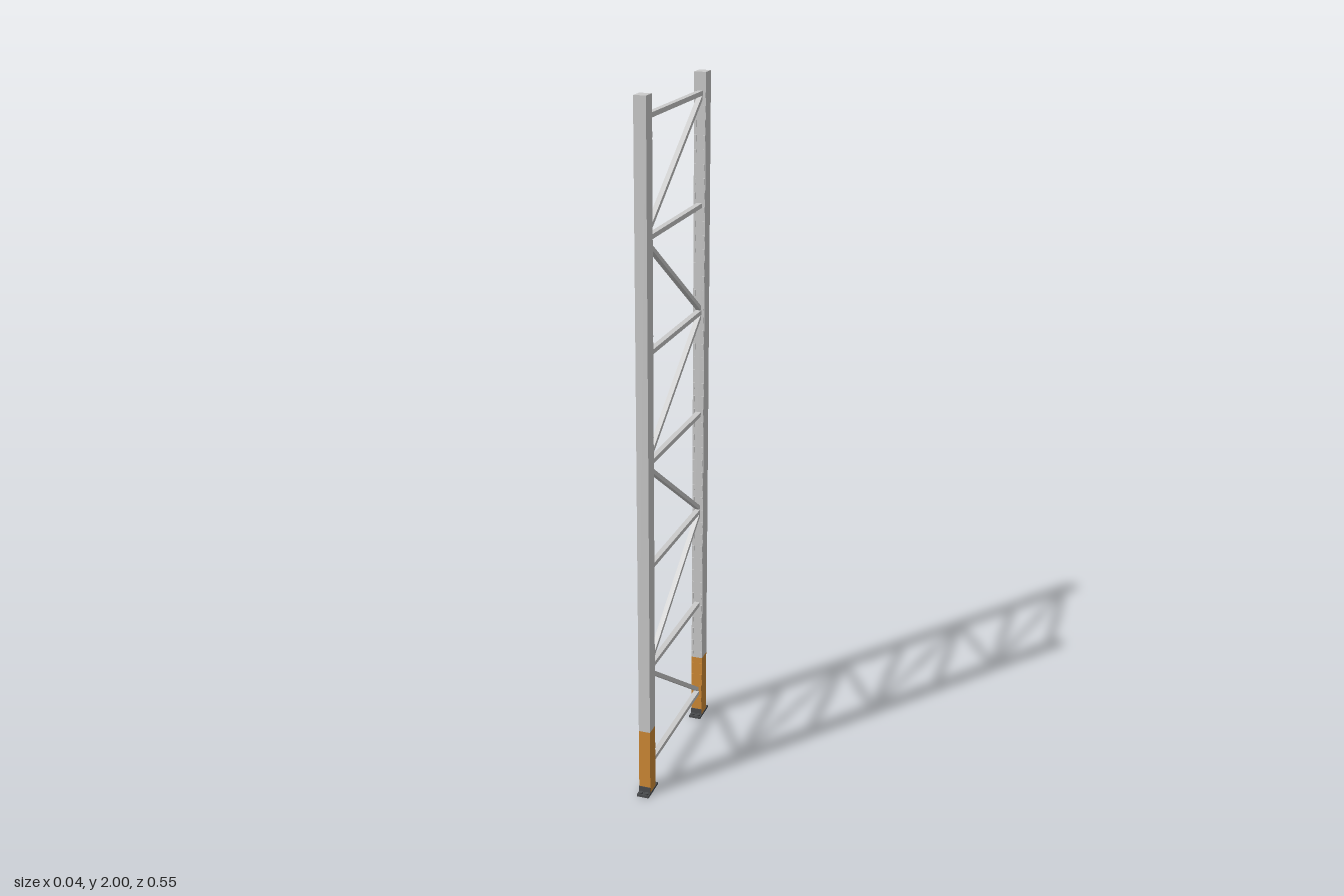
import * as THREE from 'three';

const steel = new THREE.MeshStandardMaterial({ color: 0xcccccc });
const orange = new THREE.MeshStandardMaterial({ color: 0xd08a35 });
const dark = new THREE.MeshStandardMaterial({ color: 0x4a4c4e });

function box(parent, name, material, w, h, d, x, y, z) {
  const mesh = new THREE.Mesh(new THREE.BoxGeometry(w, h, d), material);
  mesh.name = name;
  mesh.position.set(x, y, z);
  parent.add(mesh);
  return mesh;
}

// Bar between two points in the x = 0 plane, given as [z, y]
function brace(parent, name, a, b, width, thick) {
  const dz = b[0] - a[0], dy = b[1] - a[1];
  const bar = box(parent, name, steel, width, thick, Math.hypot(dz, dy),
    0, (a[1] + b[1]) / 2, (a[0] + b[0]) / 2);
  bar.rotation.x = -Math.atan2(dy, dz);
}

const POST_Z = 0.2345, POST_W = 0.034, POST_D = 0.043;
const GUARD_TOP = 0.207, PLATE_H = 0.007;

function createPost(side) {
  const post = new THREE.Group();
  post.name = side > 0 ? 'frontPost' : 'backPost';
  post.position.z = side * POST_Z;

  // Column with a painted lower section
  box(post, 'column', steel, POST_W, 2 - GUARD_TOP, POST_D, 0, (2 + GUARD_TOP) / 2, 0);
  box(post, 'paintedBase', orange, POST_W, GUARD_TOP - PLATE_H, POST_D,
    0, (GUARD_TOP + PLATE_H) / 2, 0);

  // Regular connector tabs along the inner face
  for (let y = 0.06; y < 1.98; y += 0.04) {
    for (const s of [-1, 1]) {
      box(post, 'connectorTab', y < GUARD_TOP ? orange : steel, 0.006, 0.018, 0.004,
        s * 0.013, y, -side * (POST_D / 2 + 0.001));
    }
  }

  // Foot plate, upturned flange and two anchor bolts
  box(post, 'footPlate', dark, 0.036, PLATE_H, 0.079, 0, PLATE_H / 2, 0);
  box(post, 'footFlange', dark, 0.034, 0.022, 0.002, 0, 0.014, POST_D / 2 + 0.001);
  for (const s of [-1, 1]) {
    const bolt = new THREE.Mesh(new THREE.CylinderGeometry(0.006, 0.006, 0.005, 12), dark);
    bolt.name = 'anchorBolt';
    bolt.position.set(s * 0.009, PLATE_H + 0.002, 0.031);
    post.add(bolt);
  }
  return post;
}

export function createModel() {
  const model = new THREE.Group();
  model.name = 'uprightFrame';
  model.add(createPost(1), createPost(-1));

  // Horizontal struts with diagonals zigzagging between them
  const first = 0.083, pitch = 0.31, inner = 0.215;
  for (let i = 0; i < 7; i++) {
    const y = first + i * pitch;
    brace(model, 'horizontalBrace', [-inner, y], [inner, y], 0.016, 0.013);
    if (i < 6) {
      const s = i % 2 ? 1 : -1;
      brace(model, 'diagonalBrace', [s * inner, y + 0.011],
        [-s * inner, y + pitch - 0.011], 0.014, 0.012);
    }
  }
  return model;
}
